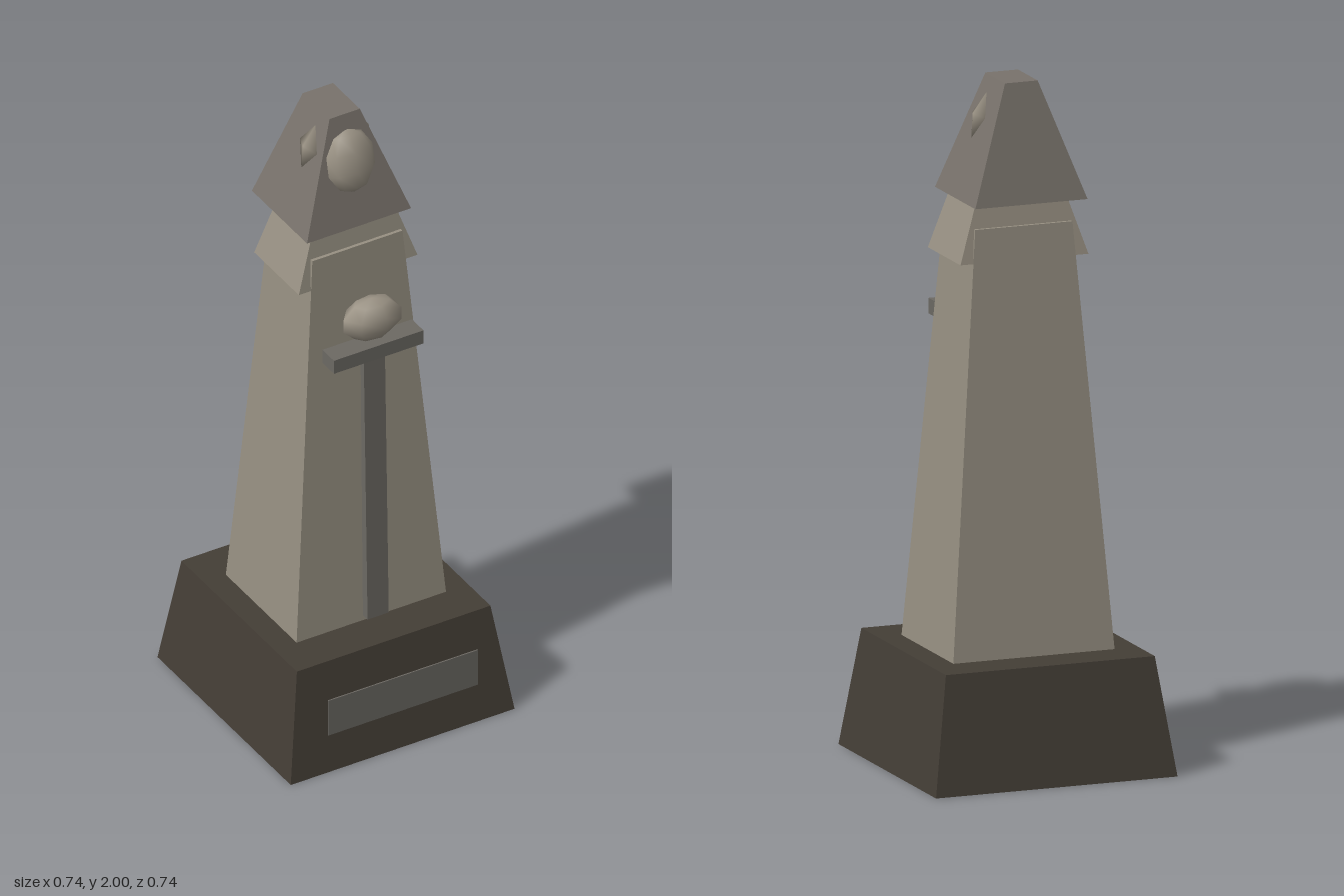
import * as THREE from 'three';

const mat = (name, color) => {
  const m = new THREE.MeshStandardMaterial({ color });
  m.name = name;
  return m;
};

// Box tapering from a bottom rectangle to a top rectangle; each is [halfX, zBack, zFront]
function taperedBlock(y0, y1, bottom, top) {
  const geo = new THREE.BoxGeometry(2, 1, 2);
  const p = geo.attributes.position;
  for (let i = 0; i < p.count; i++) {
    const up = p.getY(i) > 0;
    const [hx, zb, zf] = up ? top : bottom;
    p.setXYZ(i, p.getX(i) * hx, up ? y1 : y0, p.getZ(i) > 0 ? zf : zb);
  }
  geo.computeVertexNormals();
  return geo;
}

export function createModel() {
  const model = new THREE.Group();
  model.name = 'statue';

  const darkStone = mat('dark stone', 0x443e36);
  const robeStone = mat('robe stone', 0x979082);
  const hoodStone = mat('hood stone', 0x78726b);
  const greyMetal = mat('grey metal', 0x6c6963);
  const paleStone = mat('pale stone', 0x9c9486);

  const add = (name, geo, material) => {
    const mesh = new THREE.Mesh(geo, material);
    mesh.name = name;
    model.add(mesh);
    return mesh;
  };

  // Plinth and its plaque
  add('plinth', taperedBlock(0, 0.345, [0.37, -0.372, 0.368], [0.32, -0.323, 0.318]), darkStone);
  const plaque = add('plaque', new THREE.BoxGeometry(0.495, 0.12, 0.004), greyMetal);
  plaque.position.set(0, 0.19, 0.37);

  // Robe, shoulder cape and hood
  add('robe', taperedBlock(0.345, 1.585, [0.247, -0.199, 0.194], [0.149, -0.122, 0.117]), robeStone);
  add('shoulderCape', taperedBlock(1.487, 1.72, [0.196, -0.127, 0.121], [0.118, -0.092, 0.088]), robeStone);
  add('hood', taperedBlock(1.66, 2, [0.172, -0.18, 0.126], [0.05, -0.103, 0.046]), hoodStone);

  // Face leaning with the front of the hood
  const face = add('face', new THREE.SphereGeometry(1, 8, 5), paleStone);
  face.scale.set(0.084, 0.1, 0.043);
  face.position.set(0, 1.858, 0.075);
  face.rotation.x = -0.23;

  // Diamond bosses leaning with the sides of the hood
  for (const side of [1, -1]) {
    const boss = add(side > 0 ? 'leftBoss' : 'rightBoss', new THREE.SphereGeometry(1, 4, 2), paleStone);
    boss.scale.set(0.02, 0.069, 0.047);
    boss.position.set(side * 0.09, 1.89, -0.004);
    boss.rotation.z = side * 0.345;
  }

  // Sword standing point down in front of the robe
  add('blade', taperedBlock(0.372, 1.27, [0.035, 0.206, 0.232], [0.035, 0.193, 0.211]), greyMetal);
  const guard = add('crossGuard', new THREE.BoxGeometry(0.296, 0.045, 0.064), greyMetal);
  guard.position.set(0, 1.288, 0.203);

  // Folded hands over the guard
  const hands = add('hands', new THREE.SphereGeometry(1, 7, 5), paleStone);
  hands.scale.set(0.098, 0.067, 0.058);
  hands.position.set(0, 1.385, 0.196);

  return model;
}
